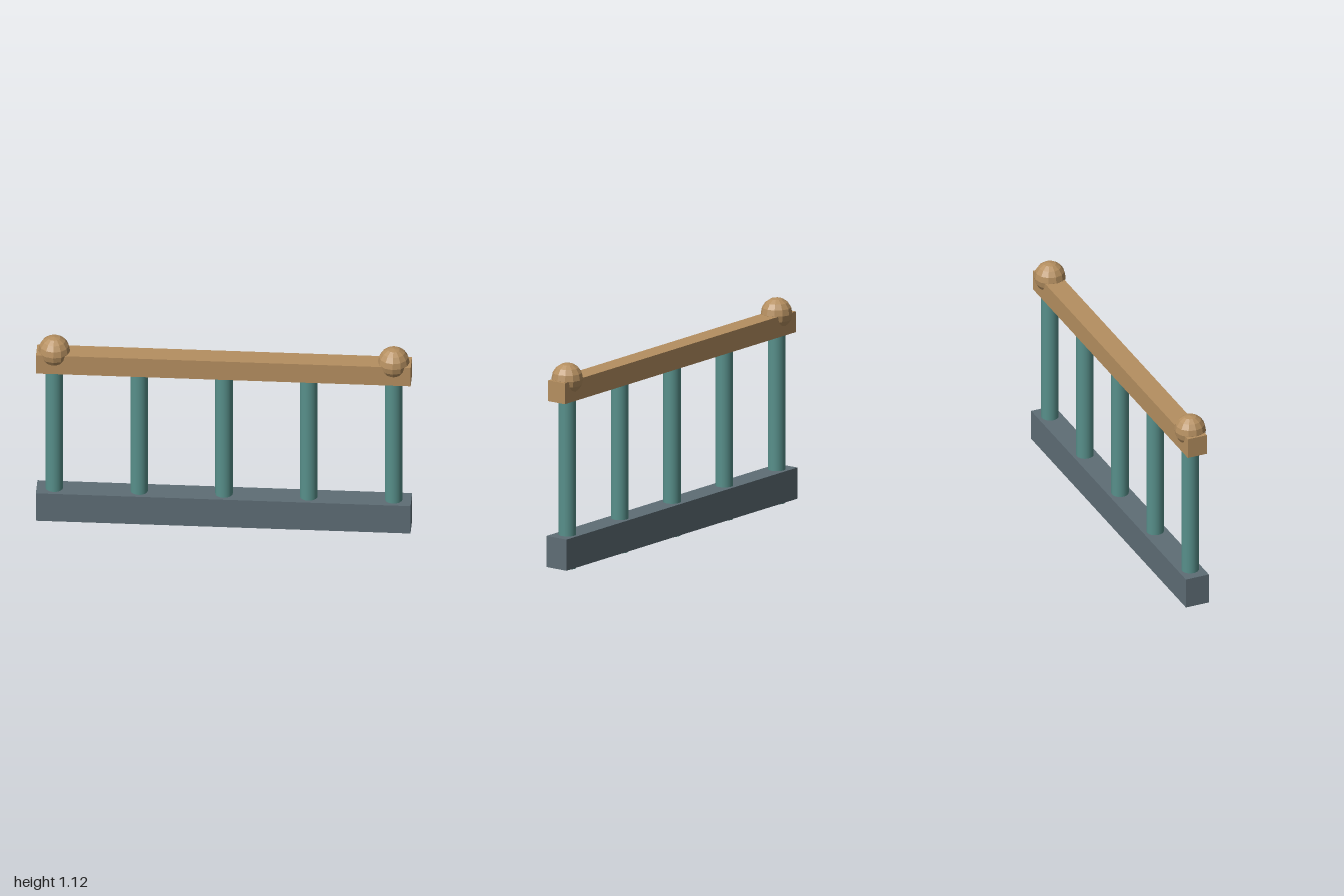
import * as THREE from 'three';

const mat = (name, color, flatShading = false) => {
  const m = new THREE.MeshStandardMaterial({ color });
  m.name = name;
  m.flatShading = flatShading;
  return m;
};

export function createModel() {
  const model = new THREE.Group();
  model.name = 'railing';

  const wood = mat('wood', 0xb58f60, true);
  const stone = mat('slate', 0x5e6d75);
  const teal = mat('tealMetal', 0x58908b);

  const add = (name, geometry, material, x, y) => {
    const mesh = new THREE.Mesh(geometry, material);
    mesh.name = name;
    mesh.position.set(x, y, 0);
    model.add(mesh);
  };

  // Base beam and hand rail
  add('base', new THREE.BoxGeometry(2, 0.171, 0.134), stone, 0, 0.0975);
  add('handRail', new THREE.BoxGeometry(2, 0.114, 0.112), wood, 0, 0.982);

  // Five evenly spaced posts, poking slightly out below the base
  const spacing = 0.453;
  const postGeometry = new THREE.CylinderGeometry(0.047, 0.047, 0.98, 20);
  for (let i = -2; i <= 2; i++) add('post', postGeometry, teal, i * spacing, 0.49);

  // Faceted ball caps over the end posts
  const ballGeometry = new THREE.SphereGeometry(0.085, 12, 8);
  for (const side of [-1, 1]) add('ballCap', ballGeometry, wood, side * 2 * spacing, 1.04);

  return model;
}
